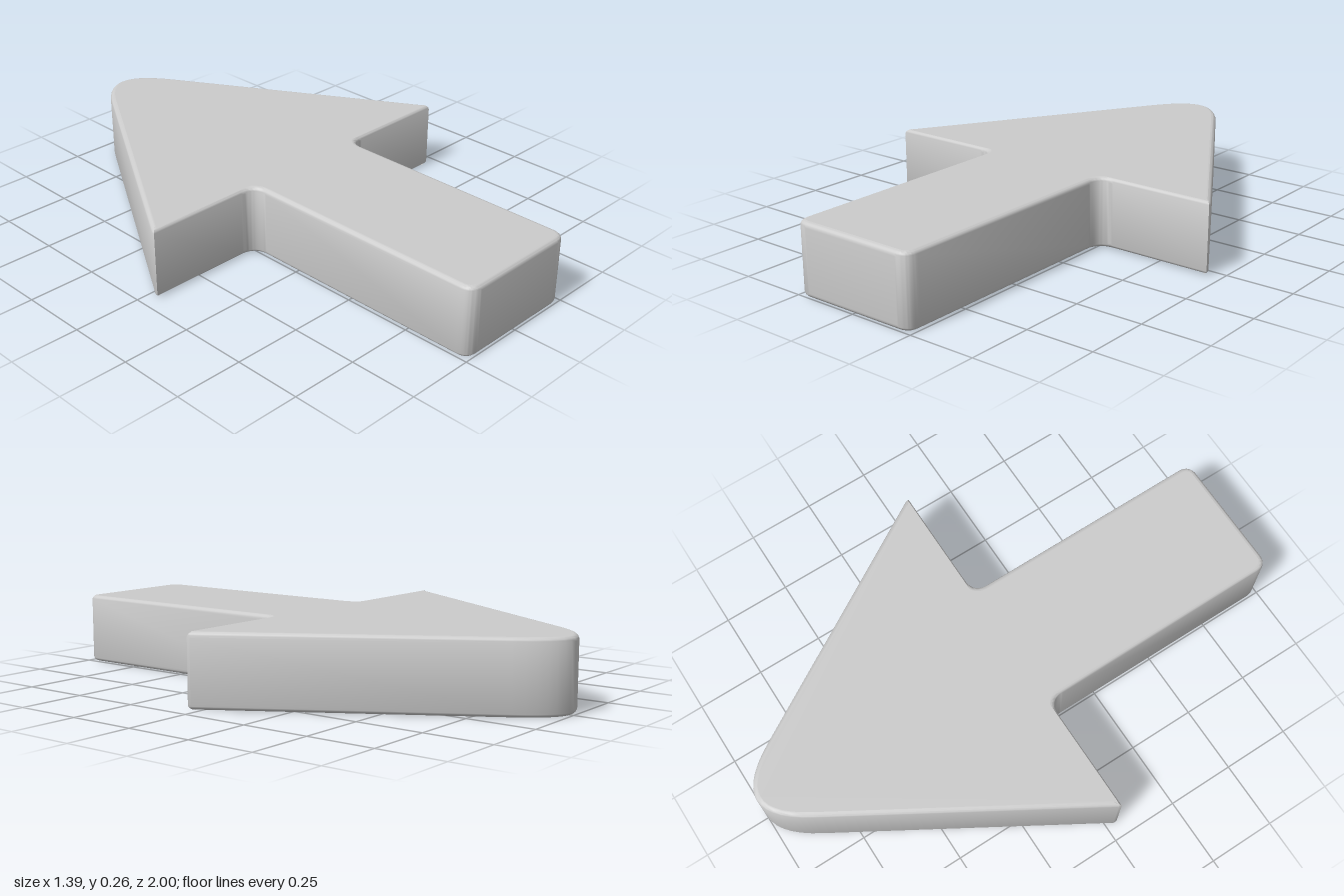
import * as THREE from 'three';
import { mergeVertices, toCreasedNormals } from 'three/addons/utils/BufferGeometryUtils.js';

const HEIGHT = 0.26, BEVEL = 0.018;

// Plan outline of the arrow, tip towards +y
function arrowOutline() {
  const w = 0.246, r = 0.05, f = 0.06, base = -0.04;
  const s = new THREE.Shape();
  s.moveTo(-w + r, -1);
  s.lineTo(w - r, -1);
  s.quadraticCurveTo(w, -1, w, -1 + r);
  // inner fillet and barb
  s.lineTo(w, base - f);
  s.quadraticCurveTo(w, base, w + f, base);
  s.lineTo(0.695, base);
  s.lineTo(0.695, base + 0.012);
  // rounded tip
  s.lineTo(0.16, 0.865);
  s.quadraticCurveTo(0, 1.135, -0.16, 0.865);
  s.lineTo(-0.695, base + 0.012);
  s.lineTo(-0.695, base);
  s.lineTo(-w - f, base);
  s.quadraticCurveTo(-w, base, -w, base - f);
  s.lineTo(-w, -1 + r);
  s.quadraticCurveTo(-w, -1, -w + r, -1);
  return s;
}

export function createModel() {
  const group = new THREE.Group();
  group.name = 'arrow';

  let geo = new THREE.ExtrudeGeometry(arrowOutline(), {
    depth: HEIGHT - 2 * BEVEL, curveSegments: 14,
    bevelEnabled: true, bevelThickness: BEVEL, bevelSize: BEVEL, bevelOffset: -BEVEL, bevelSegments: 5,
  });
  geo.rotateX(-Math.PI / 2);
  geo.translate(0, BEVEL, 0);
  geo.deleteAttribute('uv');
  geo.deleteAttribute('normal');
  geo = toCreasedNormals(mergeVertices(geo, 1e-5), 0.6);

  // keep the top and bottom faces evenly flat
  const pos = geo.attributes.position, nor = geo.attributes.normal;
  for (let i = 0; i < pos.count; i += 3) {
    const ys = [0, 1, 2].map((k) => pos.getY(i + k));
    const up = ys.every((y) => y > HEIGHT - 1e-4), down = ys.every((y) => y < 1e-4);
    if (up || down) for (let k = 0; k < 3; k++) nor.setXYZ(i + k, 0, up ? 1 : -1, 0);
  }

  const body = new THREE.Mesh(geo, new THREE.MeshStandardMaterial({ color: 0xcccccc }));
  body.name = 'arrowBody';
  group.add(body);
  return group;
}
